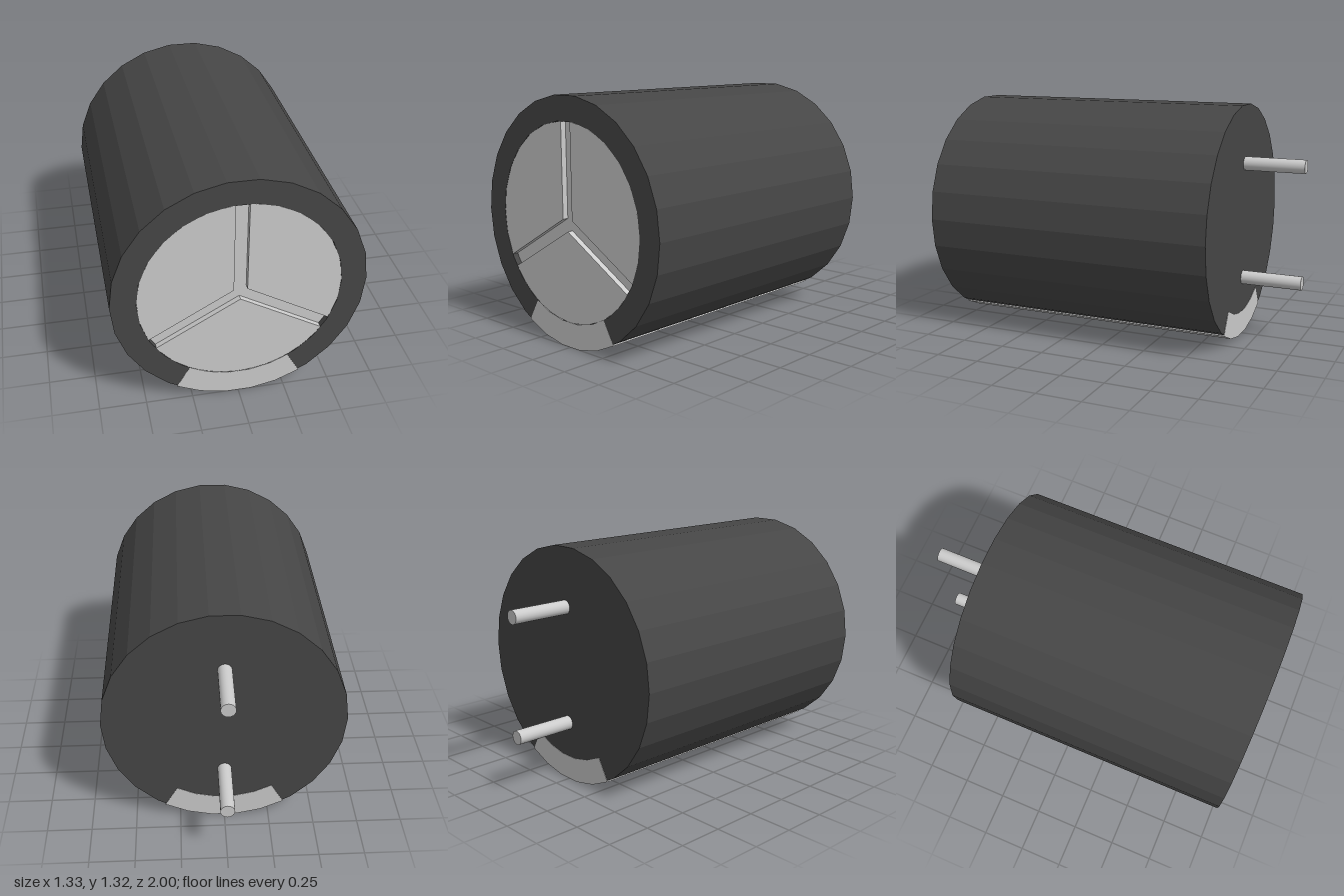
import * as THREE from 'three';

const R = 0.664, RIM = 0.53, BACK = -0.655, FRONT = 1, FLOOR = 0.968, GROOVE = 0.07;

const grey = new THREE.MeshStandardMaterial({ color: 0xcccccc, flatShading: true });
const smoothGrey = new THREE.MeshStandardMaterial({ color: 0xcccccc });
const dark = new THREE.MeshStandardMaterial({ color: 0x464646, flatShading: true });

// points along an arc, counter-clockwise from a0 to a1
function arc(radius, a0, a1, steps) {
  return Array.from({ length: steps + 1 }, (_, i) => {
    const a = a0 + ((a1 - a0) * i) / steps;
    return new THREE.Vector2(radius * Math.cos(a), radius * Math.sin(a));
  });
}

// flat outline extruded along z between two depths
function slab(points, z0, z1) {
  const geometry = new THREE.ExtrudeGeometry(new THREE.Shape(points), { depth: z1 - z0, bevelEnabled: false });
  return geometry.translate(0, 0, z0);
}

export function createModel() {
  const model = new THREE.Group();
  model.name = 'capacitor';
  const can = new THREE.Group();
  can.name = 'can';
  can.position.y = R * Math.cos(Math.PI / 26);
  model.add(can);

  const add = (name, geometry, material) => {
    const mesh = new THREE.Mesh(geometry, material);
    mesh.name = name;
    can.add(mesh);
    return mesh;
  };

  // dark sleeve: closed back, outer wall, front rim and its inner lip
  const profile = [[0, BACK], [R, BACK], [R, FRONT], [RIM, FRONT], [RIM, FLOOR - 0.01]]
    .map(([r, z]) => new THREE.Vector2(r, z));
  add('sleeve', new THREE.LatheGeometry(profile, 26, Math.PI / 2).rotateX(Math.PI / 2), dark);

  // floor of the vent grooves
  add('ventFloor', new THREE.CircleGeometry(RIM, 26).translate(0, 0, FLOOR), grey);

  // three raised sectors separated by the Y-shaped groove
  const half = Math.PI / 3 - Math.asin(GROOVE / 2 / RIM);
  const tip = GROOVE / 2 / Math.sin(Math.PI / 3);
  for (let i = 0; i < 3; i++) {
    const outline = [new THREE.Vector2(tip, 0), ...arc(RIM, -half, half, 8)];
    const plate = add('ventSector' + (i + 1), slab(outline, FLOOR, FRONT - 0.001), grey);
    plate.rotation.z = Math.PI / 6 + (i * Math.PI * 2) / 3;
  }

  // polarity stripe along the underside
  const a0 = (Math.PI * 4) / 3, a1 = (Math.PI * 5) / 3;
  const band = [...arc(R + 0.003, a0, a1, 5), ...arc(RIM, a0, a1, 5).reverse()];
  add('polarityStripe', slab(band, BACK - 0.002, FRONT + 0.001), grey);

  // two wire leads at the back
  for (const [name, y] of [['upperLead', 0.332], ['lowerLead', -0.327]]) {
    const lead = new THREE.CylinderGeometry(0.039, 0.039, 0.355, 20).rotateX(Math.PI / 2);
    add(name, lead, smoothGrey).position.set(0, y, -0.8225);
  }
  return model;
}
